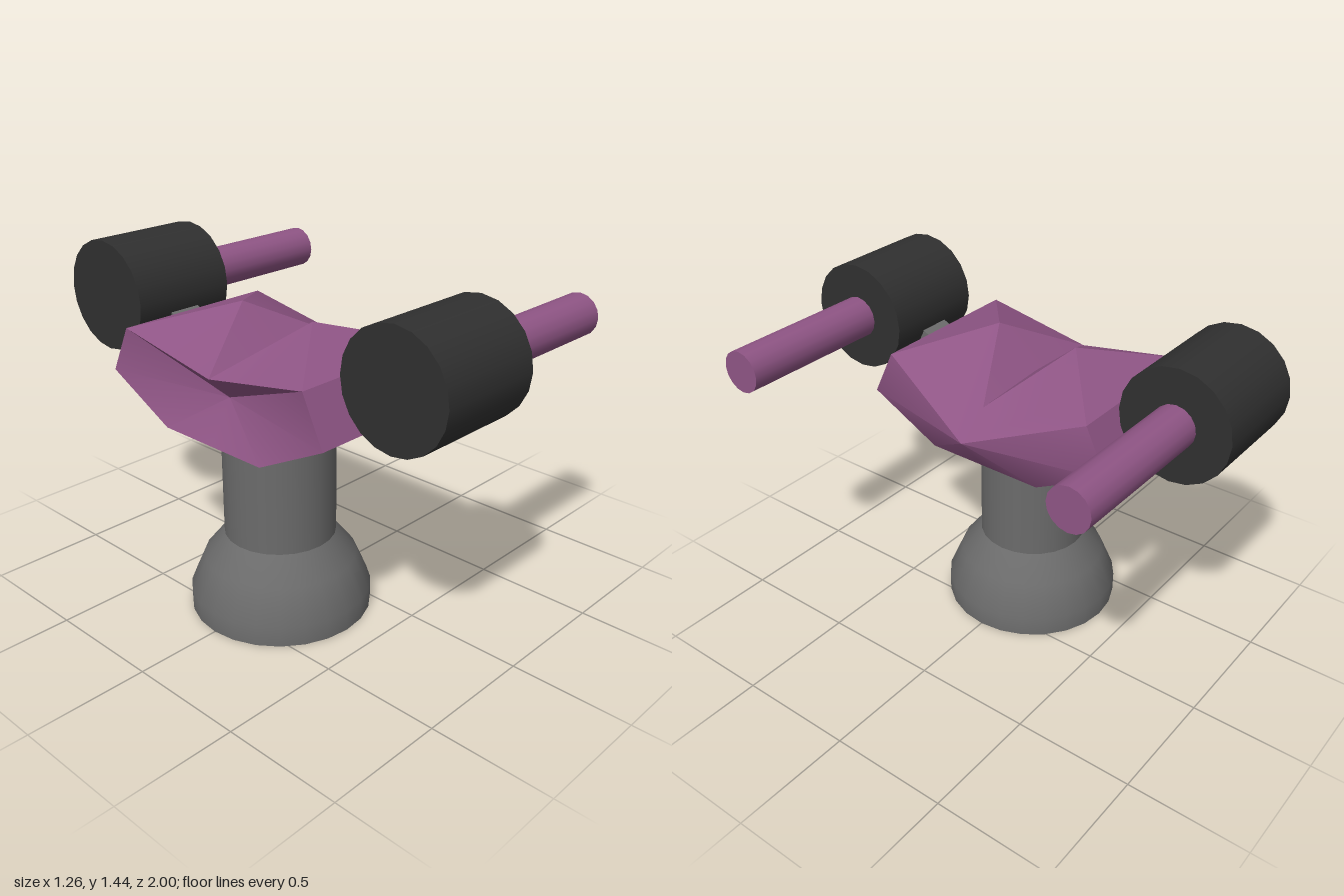
import * as THREE from 'three';
import { toCreasedNormals } from 'three/addons/utils/BufferGeometryUtils.js';

const plum = new THREE.MeshStandardMaterial({ color: 0x8f5585 });
const charcoal = new THREE.MeshStandardMaterial({ color: 0x303030 });
const grey = new THREE.MeshStandardMaterial({ color: 0x6b6b6b });

const CENTRE_X = -0.26; // pedestal axis

function part(name, geometry, material, x = 0, y = 0, z = 0) {
  const mesh = new THREE.Mesh(geometry, material);
  mesh.name = name;
  mesh.position.set(x, y, z);
  return mesh;
}

// Cylinder lying along x between two x positions
function rod(r, x0, x1, sides) {
  const g = new THREE.CylinderGeometry(r, r, x1 - x0, sides);
  return g.rotateZ(-Math.PI / 2).translate((x0 + x1) / 2, 0, 0);
}

// Mirrored cross-section (z, y) of the winged cradle, starting at the valley
function section(x, valley, ridge) {
  const half = [ridge, [0.48, 1.165], [0.575, 0.97], [0.26, 0.81]];
  const mirrored = half.map(([z, y]) => [-z, y]).reverse();
  return [[0, valley], ...half, [0, 0.81], ...mirrored].map(([z, y]) => new THREE.Vector3(x, y, z));
}

function cradleGeometry() {
  const rings = [
    section(-0.61, 1.08, [0.24, 1.1225]),
    section(CENTRE_X, 1.1, [0.19, 1.26]),
    section(0.09, 1.08, [0.24, 1.1225]),
  ];
  const points = [];
  const n = rings[0].length;
  const nose = new THREE.Vector3(0.23, 0.98, 0);
  const dent = new THREE.Vector3(-0.51, 0.98, 0);
  for (let i = 0; i < n; i++) {
    const j = (i + 1) % n;
    // Skin between rings, with diagonals fanning out from the two peaks
    for (let s = 0; s < 2; s++) {
      const a = rings[s], b = rings[s + 1];
      if ((s + i) % 2 === 0) points.push(a[i], a[j], b[j], a[i], b[j], b[i]);
      else points.push(a[i], a[j], b[i], a[j], b[j], b[i]);
    }
    // Pointed nose at +x and slightly hollow end at -x
    points.push(nose, rings[2][i], rings[2][j]);
    points.push(dent, rings[0][j], rings[0][i]);
  }
  return toCreasedNormals(new THREE.BufferGeometry().setFromPoints(points), 0.6);
}

export function createModel() {
  const model = new THREE.Group();
  model.name = 'twinBarrelTurret';

  // Pedestal
  const profile = [[0, 0], [0.375, 0], [0.375, 0.085], [0.315, 0.225], [0.23, 0.33]];
  const foot = new THREE.LatheGeometry(profile.map(([r, y]) => new THREE.Vector2(r, y)), 24);
  model.add(part('foot', toCreasedNormals(foot, 0.7), grey, CENTRE_X));
  const column = new THREE.CylinderGeometry(0.23, 0.23, 0.56, 24);
  model.add(part('column', column, grey, CENTRE_X, 0.6));

  model.add(part('cradle', cradleGeometry(), plum));

  // Gun on each side
  for (const side of [1, -1]) {
    const gun = new THREE.Group();
    gun.name = side > 0 ? 'leftGun' : 'rightGun';
    gun.position.set(0, 1.21, side * 0.77);
    gun.add(part('drum', rod(0.23, -0.49, -0.03, 20), charcoal));
    gun.add(part('barrel', rod(0.088, -0.04, 0.63, 16), plum));
    // Strut slanting down from the drum into the cradle
    const strut = part('strut', new THREE.BoxGeometry(0.14, 0.07, 0.3), grey, CENTRE_X, -0.107, -side * 0.235);
    strut.rotation.x = -side * 0.43;
    gun.add(strut);
    model.add(gun);
  }
  return model;
}
